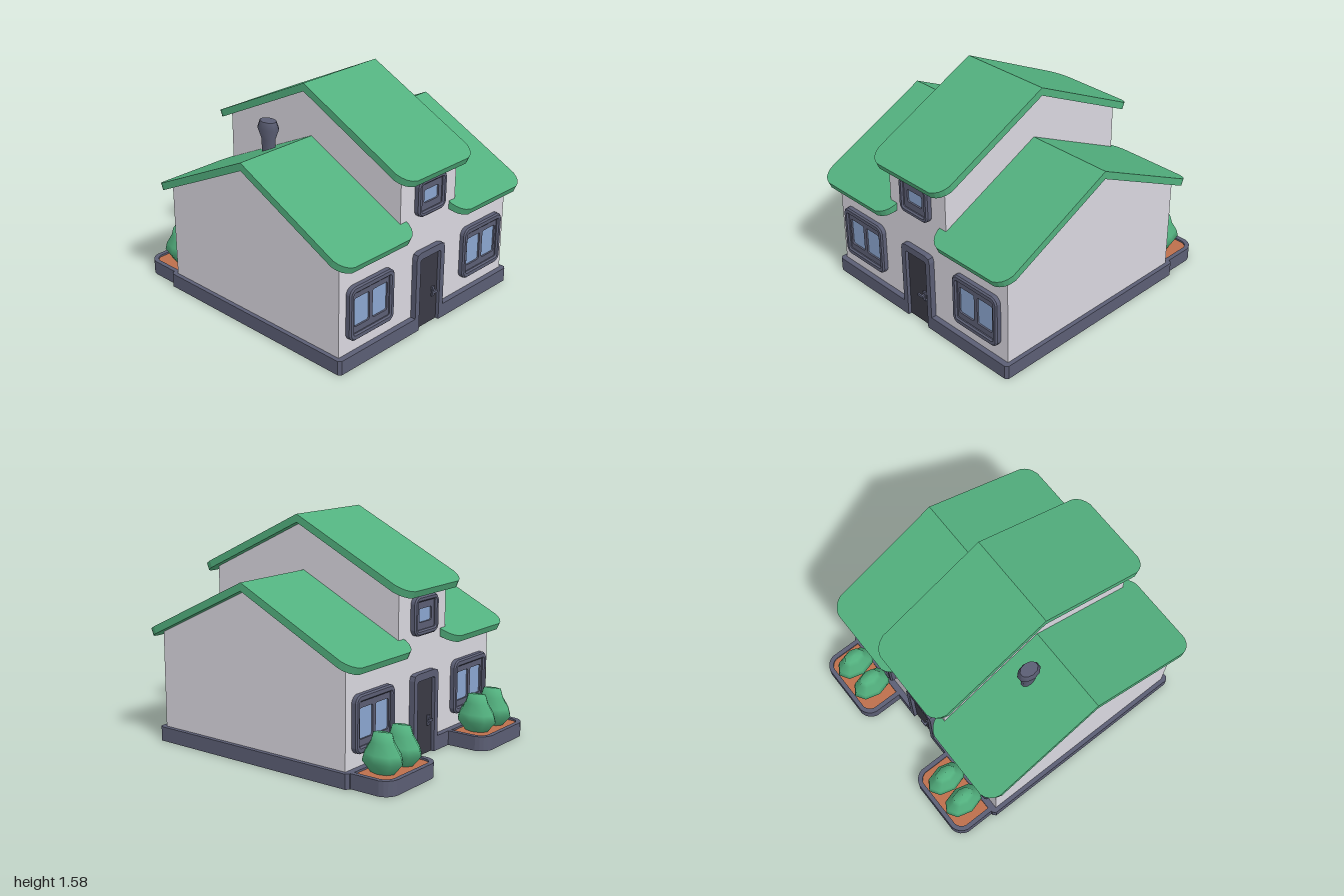
import * as THREE from 'three';

const flat = (name, color) => {
  const m = new THREE.MeshStandardMaterial({ color });
  m.name = name;
  return m;
};

// Rectangle with rounded corners; r = [lower left, lower right, upper right, upper left]
function trace(path, x0, y0, x1, y1, r) {
  const [a, b, c, d] = Array.isArray(r) ? r : [r, r, r, r];
  path.moveTo(x0 + a, y0);
  path.lineTo(x1 - b, y0);
  if (b) path.quadraticCurveTo(x1 - b * 0.2, y0 + b * 0.2, x1, y0 + b);
  path.lineTo(x1, y1 - c);
  if (c) path.quadraticCurveTo(x1 - c * 0.2, y1 - c * 0.2, x1 - c, y1);
  path.lineTo(x0 + d, y1);
  if (d) path.quadraticCurveTo(x0 + d * 0.2, y1 - d * 0.2, x0, y1 - d);
  path.lineTo(x0, y0 + a);
  if (a) path.quadraticCurveTo(x0 + a * 0.2, y0 + a * 0.2, x0 + a, y0);
  return path;
}
const rect = (...args) => trace(new THREE.Shape(), ...args);
const hole = (...args) => trace(new THREE.Path(), ...args);
const polygon = (pts) => new THREE.Shape(pts.map(([x, y]) => new THREE.Vector2(x, y)));

// Extrusion along +z; an optional bevel stays inside the outline
function extrude(shape, depth, bevel = 0) {
  return new THREE.ExtrudeGeometry(shape, {
    depth: depth - bevel, bevelEnabled: bevel > 0, bevelSize: bevel, bevelThickness: bevel,
    bevelOffset: -bevel, bevelSegments: 1, curveSegments: 4,
  });
}
const upright = (shape, height) => extrude(shape, height).rotateX(-Math.PI / 2);

export function createModel() {
  const wall = flat('wall white', 0xd9d7df);
  const green = flat('roof green', 0x52b07e);
  const slate = flat('slate trim', 0x5b5e74);
  const dark = flat('door charcoal', 0x3a3a45);
  const glass = flat('window blue', 0x8ba6d0);
  const soil = flat('soil brown', 0xbd6f4c);

  const model = new THREE.Group();
  model.name = 'house';
  const add = (parent, name, geometry, material, x = 0, y = 0, z = 0) => {
    const mesh = new THREE.Mesh(geometry, material);
    mesh.name = name;
    mesh.position.set(x, y, z);
    parent.add(mesh);
    return mesh;
  };

  // The building is symmetric about its ridge line
  const house = new THREE.Group();
  house.name = 'building';
  house.position.x = 0.105;
  model.add(house);

  // Foundation slab with a notch at each door
  const F = 0.815, N = 0.778, Z = 0.85, D = 0.14, c = 0.02;
  add(house, 'foundation', upright(polygon([
    [-F + c, -Z], [F - c, -Z], [F, -Z + c], [F, -D], [N, -D], [N, D], [F, D], [F, Z - c],
    [F - c, Z], [-F + c, Z], [-F, Z - c], [-F, D], [-N, D], [-N, -D], [-F, -D], [-F, -Z + c],
  ]), 0.1), slate);

  // Gabled wall blocks: a tall centre and two lower wings
  const W = 0.775, slope = 0.486;
  const gable = (apex, length) => extrude(polygon([
    [-W, 0.1], [W, 0.1], [W, apex - slope * W], [0, apex], [-W, apex - slope * W],
  ]), length);
  add(house, 'centreWalls', gable(1.525, 0.54), wall, 0, 0, -0.27);
  add(house, 'frontWingWalls', gable(1.145, 0.55), wall, 0, 0, 0.27);
  add(house, 'backWingWalls', gable(1.145, 0.55), wall, 0, 0, -0.82);

  // Roof panel: rounded slab sheared down from the ridge, eave cut square to the slope
  const panel = extrude(rect(0, -0.34, 0.885, 0.34, [0, 0.09, 0.09, 0]), 1).rotateX(-Math.PI / 2);
  const p = panel.attributes.position;
  for (let i = 0; i < p.count; i++) {
    const top = p.getY(i) > 0.5;
    const d = p.getX(i) * (top ? 1 : 0.865 / 0.885);
    p.setX(i, d);
    p.setY(i, (top ? 0 : -0.055) - slope * d);
  }
  panel.computeVertexNormals();
  for (const [name, y, z] of [['centreRoof', 1.575, 0], ['frontRoof', 1.197, 0.55], ['backRoof', 1.197, -0.55]]) {
    const roof = new THREE.Group();
    roof.name = name;
    roof.position.set(0, y, z);
    add(roof, 'leftPanel', panel, green);
    add(roof, 'rightPanel', panel, green).rotation.y = Math.PI;
    house.add(roof);
  }

  // Flared chimney
  const lathe = (pts, sides) =>
    new THREE.LatheGeometry(pts.map(([r, y]) => new THREE.Vector2(r, y)), sides);
  add(house, 'chimney', lathe([
    [0.055, 1.04], [0.055, 1.17], [0.085, 1.245], [0.065, 1.295], [0.065, 1.295], [0, 1.295],
  ], 10), slate, -0.215, 0, 0.45).scale.z = 0.7;

  // Window: raised outer frame, recessed sash with openings, glass behind
  function addWindow(facade, name, u, y, w, h, sashW, sashH, panes) {
    const g = new THREE.Group();
    g.name = name;
    g.position.set(u, y, 0);
    const outer = rect(-w, -h, w, h, 0.045);
    outer.holes.push(hole(-sashW, -sashH, sashW, sashH, 0.008));
    add(g, 'frame', extrude(outer, 0.04, 0.01), slate);
    const sash = rect(-sashW - 0.01, -sashH - 0.01, sashW + 0.01, sashH + 0.01, 0);
    for (const [x0, y0, x1, y1] of panes) sash.holes.push(hole(x0, y0, x1, y1, 0.012));
    add(g, 'sash', extrude(sash, 0.022), slate);
    add(g, 'glass', new THREE.BoxGeometry(sashW * 2, sashH * 2, 0.008), glass, 0, 0, 0.006);
    facade.add(g);
  }

  // Facade with door and three windows, used on both eave sides
  for (const side of [1, -1]) {
    const facade = new THREE.Group();
    facade.name = side > 0 ? 'leftFacade' : 'rightFacade';
    facade.position.x = side * W;
    facade.rotation.y = side * Math.PI / 2;
    house.add(facade);

    const pair = [[-0.15, -0.1, -0.015, 0.1], [0.015, -0.1, 0.15, 0.1]];
    for (const s of [1, -1])
      addWindow(facade, 'lowerWindow', s * 0.553, 0.38, 0.205, 0.188, 0.165, 0.142, pair);
    addWindow(facade, 'upperWindow', 0, 0.95, 0.137, 0.13, 0.1, 0.092, [[-0.07, -0.045, 0.07, 0.045]]);

    add(facade, 'doorFrame', extrude(polygon([
      [0.1, 0], [0.14, 0], [0.14, 0.53], [0.13, 0.56], [0.1, 0.57], [-0.1, 0.57], [-0.13, 0.56],
      [-0.14, 0.53], [-0.14, 0], [-0.1, 0], [-0.1, 0.51], [-0.09, 0.52], [0.09, 0.52], [0.1, 0.51],
    ]), 0.04), slate);
    add(facade, 'door', new THREE.BoxGeometry(0.2, 0.52, 0.03), dark, 0, 0.26, 0);
    add(facade, 'handlePlate', new THREE.BoxGeometry(0.025, 0.07, 0.012), slate, 0.055, 0.225, 0.02);
    add(facade, 'handleStem', new THREE.BoxGeometry(0.015, 0.015, 0.03), slate, 0.055, 0.232, 0.032);
    add(facade, 'handleLever', new THREE.BoxGeometry(0.05, 0.018, 0.012), slate, 0.042, 0.232, 0.044);
  }

  // Planters with soil and two bushes each
  const bush = lathe([
    [0, 0.08], [0.08, 0.08], [0.15, 0.16], [0.135, 0.21], [0.088, 0.28], [0.07, 0.335], [0, 0.34],
  ], 8);
  for (const s of [1, -1]) {
    const planter = new THREE.Group();
    planter.name = s > 0 ? 'frontPlanter' : 'backPlanter';
    planter.position.z = s * 0.548;
    model.add(planter);
    const rim = rect(-1, -0.272, -0.7, 0.272, [0.08, 0, 0, 0.08]);
    rim.holes.push(hole(-0.968, -0.24, -0.715, 0.24, [0.055, 0, 0, 0.055]));
    add(planter, 'rim', upright(rim, 0.1), slate);
    add(planter, 'base', upright(rect(-0.99, -0.262, -0.7, 0.262, [0.08, 0, 0, 0.08]), 0.03), slate);
    add(planter, 'soil', upright(rect(-0.975, -0.245, -0.71, 0.245, [0.055, 0, 0, 0.055]), 0.085), soil, 0, 0.002, 0);
    for (const t of [1, -1])
      add(planter, 'bush', bush, green, -0.825, 0, t * 0.1).scale.z = 0.66;
  }
  return model;
}
